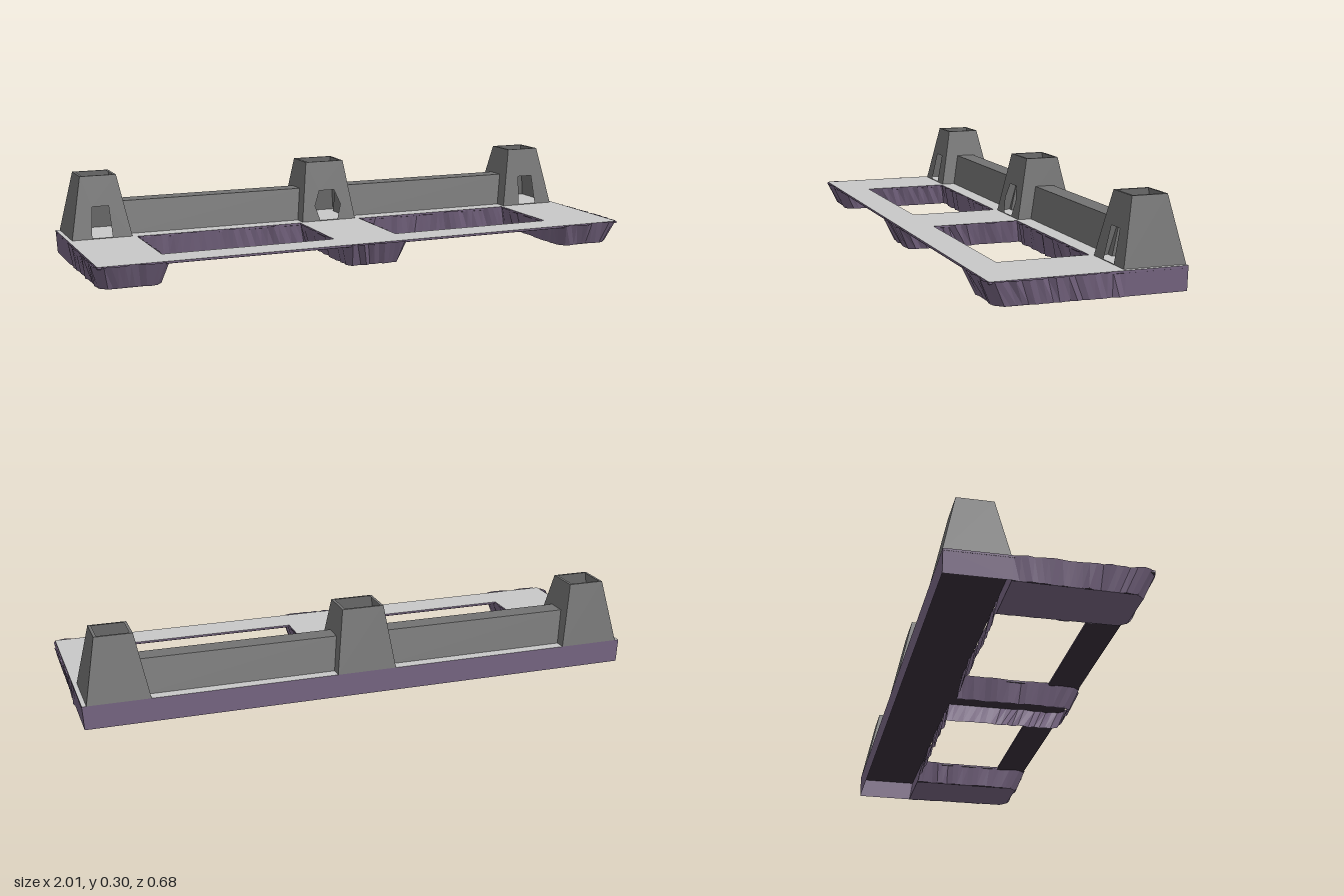
import * as THREE from 'three';

const DECK_Y = 0.083, TOWER_TOP = 0.302;

export function createModel() {
  const group = new THREE.Group();
  const mat = (name, color, side = THREE.DoubleSide) => {
    const m = new THREE.MeshStandardMaterial({ color, side, flatShading: true });
    m.name = name;
    return m;
  };
  const paleStone = mat('pale stone', 0xc8c8c8, THREE.FrontSide);
  const greyStone = mat('grey stone', 0x727272);
  const rock = mat('purple rock', 0x756480);
  const darkRock = mat('dark rock', 0x382f3b);

  const add = (name, geo, material, parent = group) => {
    const mesh = new THREE.Mesh(geo, material);
    mesh.name = name;
    parent.add(mesh);
    return mesh;
  };
  const polygon = (pts) => new THREE.Shape(pts.map(([x, y]) => new THREE.Vector2(x, y)));
  const rect = (x0, y0, x1, y1) => polygon([[x0, y0], [x1, y0], [x1, y1], [x0, y1]]);

  let seed = 7;
  const random = () => {
    seed = (seed * 16807) % 2147483647;
    return seed / 2147483647;
  };

  // Deck: a thin slab with two openings, and its dark underside
  const deckShape = (flip) => {
    const s = flip ? rect(-0.99, -0.325, 0.99, 0.335) : rect(-0.99, -0.335, 0.99, 0.325);
    for (const x of [-0.745, 0.12]) {
      s.holes.push(flip ? rect(x, -0.21, x + 0.625, 0.11) : rect(x, -0.11, x + 0.625, 0.21));
    }
    return s;
  };
  const slab = new THREE.ExtrudeGeometry(deckShape(true), { depth: 0.007, bevelEnabled: false });
  slab.rotateX(-Math.PI / 2).translate(0, DECK_Y - 0.007, 0);
  add('deck', slab, [paleStone, rock]);
  const under = new THREE.ShapeGeometry(deckShape(false));
  under.rotateX(Math.PI / 2).translate(0, DECK_Y - 0.008, 0);
  add('deckUnderside', under, darkRock);

  // Rock wall between plan points [x, z, bottomX, bottomZ], rough where asked
  function rockWall(name, a, b, rough) {
    const dx = b[0] - a[0], dz = b[1] - a[1], len = Math.hypot(dx, dz);
    const nx = dz / len, nz = -dx / len;
    const n = rough ? Math.round(len / 0.022) : 1;
    const pos = [];
    let prev = null;
    for (let i = 0; i <= n; i++) {
      const t = i / n;
      const inner = i > 0 && i < n;
      const j = inner ? (random() - 0.35) * 0.014 : 0;
      const k = inner ? (random() - 0.5) * 0.012 : 0;
      const at = (c) => a[c] + (b[c] - a[c]) * t;
      const top = [at(0) + nx * j, DECK_Y - 0.001, at(1) + nz * j];
      const bottom = [at(2) + nx * k, 0, at(3) + nz * k];
      if (prev) pos.push(...prev[1], ...top, ...prev[0], ...prev[1], ...bottom, ...top);
      prev = [top, bottom];
    }
    const g = new THREE.BufferGeometry();
    g.setAttribute('position', new THREE.Float32BufferAttribute(pos, 3));
    g.computeVertexNormals();
    add(name, g, rock);
  }

  // Outline of the foundation: a rear bar with three piers reaching forward
  const half = [
    [0, -0.335, 0, -0.335],
    [0.99, -0.335, 0.985, -0.335],
    [0.99, -0.12, 0.985, -0.12],
    [0.997, 0.31, 0.975, 0.27],
    [0.97, 0.332, 0.95, 0.295],
    [0.765, 0.332, 0.785, 0.295],
    [0.745, 0.31, 0.765, 0.27],
    [0.745, -0.11, 0.765, -0.125],
    [0.12, -0.11, 0.1, -0.125],
    [0.12, 0.31, 0.1, 0.27],
    [0.1, 0.332, 0.085, 0.295],
    [0, 0.332, 0, 0.295],
  ];
  const flipX = ([x, z, bx, bz]) => [-x, z, -bx, bz];
  half.slice(1).forEach((p, i) => {
    rockWall('rockSideLeft', half[i], p, i >= 2);
    rockWall('rockSideRight', flipX(p), flipX(half[i]), i >= 2);
  });

  // Closed bottoms and inner cross walls of the end piers
  for (const s of [1, -1]) {
    const base = new THREE.ShapeGeometry(polygon(
      [[0.765, -0.125], [0.983, -0.125], [0.975, 0.27], [0.95, 0.295], [0.785, 0.295], [0.765, 0.27]]
        .map(([x, z]) => [s * x, z])));
    base.rotateX(Math.PI / 2);
    add('pierBottom', base, rock);
    rockWall('crossWall', [s * 0.98, -0.11, s * 0.98, -0.125], [s * 0.745, -0.11, s * 0.765, -0.125], false);
  }

  // Tower: hollow tapering shell with a doorway in its front
  const Z0 = -0.335, Z1 = -0.12, TZ0 = -0.288, TZ1 = -0.165;
  function tower(name, cx, baseHalf, topHalf, door) {
    const t = new THREE.Group();
    t.name = name;
    t.position.x = cx;
    group.add(t);
    // leans a flat panel so its depth runs from d0 at the deck to d1 at the top
    const panel = (b0, b1, t0, t1, d0, d1, hole) => {
      const s = polygon([[b0, DECK_Y], [b1, DECK_Y], [t1, TOWER_TOP], [t0, TOWER_TOP]]);
      if (hole) s.holes.push(polygon(hole));
      const g = new THREE.ShapeGeometry(s);
      const p = g.attributes.position;
      for (let i = 0; i < p.count; i++) {
        const k = (p.getY(i) - DECK_Y) / (TOWER_TOP - DECK_Y);
        p.setZ(i, d0 + (d1 - d0) * k);
      }
      g.computeVertexNormals();
      return g;
    };
    const w = baseHalf, v = topHalf;
    add('towerFront', panel(-w, w, -v, v, Z1, TZ1, door), greyStone, t);
    add('towerBack', panel(-w, w, -v, v, -Z0, -TZ0).rotateY(Math.PI), greyStone, t);
    add('towerLeft', panel(-Z1, -Z0, -TZ1, -TZ0, w, v).rotateY(Math.PI / 2), greyStone, t);
    add('towerRight', panel(Z0, Z1, TZ0, TZ1, w, v).rotateY(-Math.PI / 2), greyStone, t);
    const rim = rect(-v, -TZ1, v, -TZ0);
    rim.holes.push(rect(-v + 0.01, -TZ1 + 0.008, v - 0.01, -TZ0 - 0.008));
    add('towerRim', new THREE.ShapeGeometry(rim).rotateX(-Math.PI / 2).translate(0, TOWER_TOP, 0), greyStone, t);
  }
  const y0 = DECK_Y + 0.002;
  const sideDoor = [[-0.037, y0], [0.037, y0], [0.03, 0.195], [-0.03, 0.195]];
  const midDoor = [[-0.035, y0], [0.035, y0], [0.052, 0.14], [0.03, 0.195], [-0.03, 0.195], [-0.052, 0.14]];
  tower('leftTower', 0.867, 0.108, 0.065, sideDoor);
  tower('rightTower', -0.867, 0.108, 0.065, sideDoor);
  tower('middleTower', 0, 0.107, 0.075, midDoor);

  // Walls joining the towers
  for (const s of [1, -1]) {
    const profile = polygon([[0.17, DECK_Y], [0.295, DECK_Y], [0.265, 0.2], [0.195, 0.2]]);
    const g = new THREE.ExtrudeGeometry(profile, { depth: 0.7, bevelEnabled: false });
    g.rotateY(Math.PI / 2).translate(s > 0 ? 0.09 : -0.79, 0, 0);
    add(s > 0 ? 'leftWall' : 'rightWall', g, greyStone);
  }
  return group;
}
